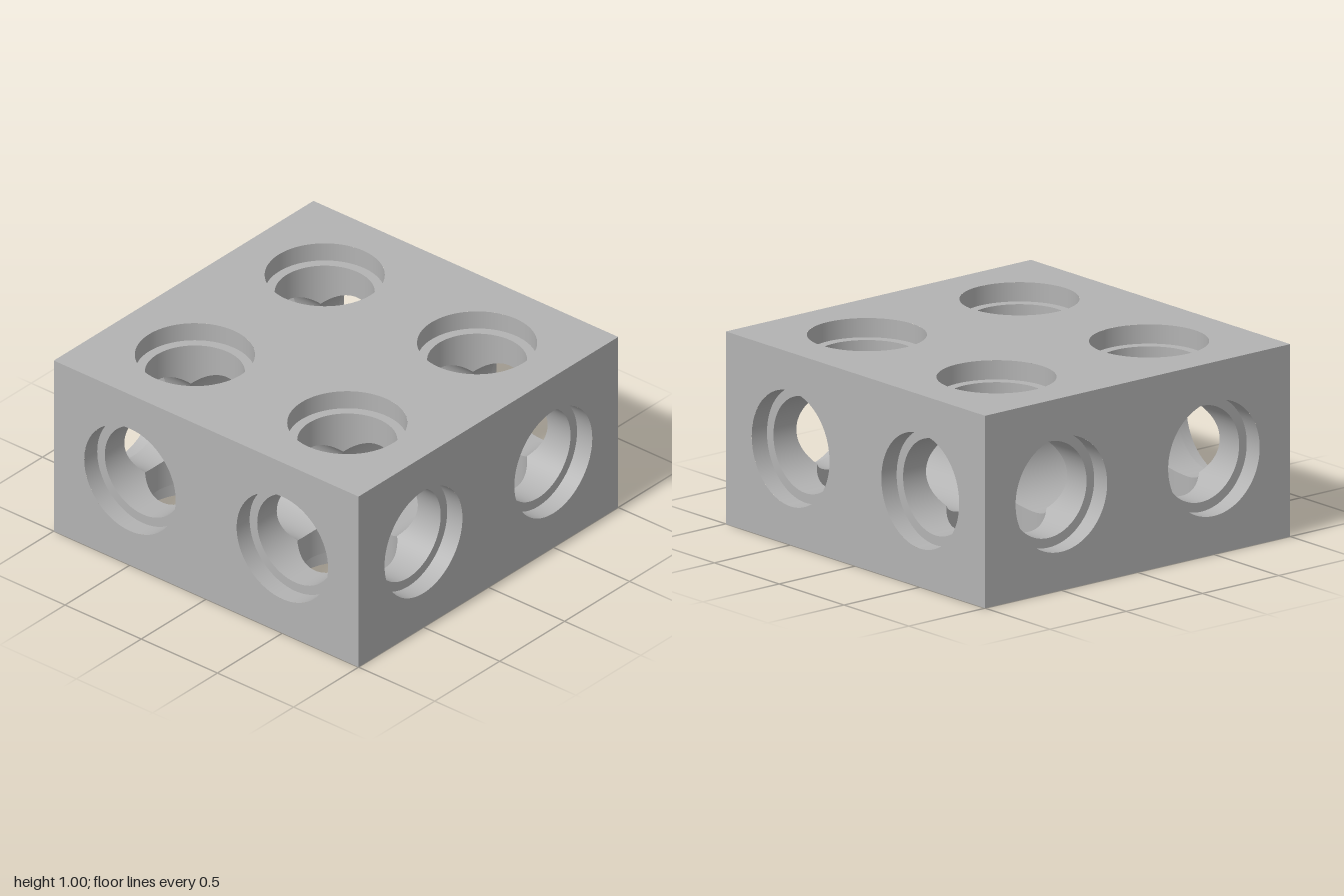
import * as THREE from 'three';

const BORE = 0.25;      // radius of the through holes
const RECESS = 0.3;     // radius of the counterbores
const LEDGE = 0.4;      // distance of the counterbore floor from a cell centre
const HALF = 0.5;       // half a cell
const SEGMENTS = 96;
const CENTRES = [-0.5, 0.5];
const UP = new THREE.Vector3(0, 1, 0);

// Inward-facing surface of revolution between two profile points, listed from outside in
function revolve(r1, y1, r2, y2) {
  return new THREE.LatheGeometry([new THREE.Vector2(r1, y1), new THREE.Vector2(r2, y2)], SEGMENTS);
}

// Bore wall whose inner end is trimmed to where the three crossing bores meet
function boreWall(outerEnd) {
  const geometry = revolve(BORE, outerEnd, BORE, 0);
  const p = geometry.attributes.position;
  for (let i = 0; i < p.count; i++) {
    if (p.getY(i) < 0.01) p.setY(i, Math.max(Math.abs(p.getX(i)), Math.abs(p.getZ(i))));
  }
  return geometry;
}

// Flat face with one round hole per cell
function facePlate(width, height, rows) {
  const w = width / 2, h = height / 2;
  const shape = new THREE.Shape([
    new THREE.Vector2(-w, -h), new THREE.Vector2(w, -h),
    new THREE.Vector2(w, h), new THREE.Vector2(-w, h),
  ]);
  for (const x of CENTRES) {
    for (const y of rows) {
      shape.holes.push(new THREE.Path().absarc(x, y, RECESS, 0, Math.PI * 2, true));
    }
  }
  return new THREE.ShapeGeometry(shape, SEGMENTS);
}

export function createModel() {
  const model = new THREE.Group();
  model.name = 'drilledBlock';
  const grey = new THREE.MeshStandardMaterial({ color: 0xb3b3b3 });
  grey.name = 'grey';

  const add = (parent, geometry, name) => {
    const mesh = new THREE.Mesh(geometry, grey);
    mesh.name = name;
    parent.add(mesh);
    return mesh;
  };

  // Four side faces
  const side = facePlate(2, 1, [0]);
  ['frontFace', 'leftFace', 'backFace', 'rightFace'].forEach((name, i) => {
    const face = add(model, side, name);
    const angle = i * Math.PI / 2;
    face.position.set(Math.sin(angle), HALF, Math.cos(angle));
    face.rotation.y = angle;
  });

  // Top and bottom faces
  const cap = facePlate(2, 2, CENTRES);
  const top = add(model, cap, 'topFace');
  top.position.y = 1;
  top.rotation.x = -Math.PI / 2;
  add(model, cap, 'bottomFace').rotation.x = Math.PI / 2;

  // Hole surfaces
  const recessWall = revolve(RECESS, HALF, RECESS, LEDGE);
  const ledge = revolve(RECESS, LEDGE, BORE, LEDGE);
  const outerBore = boreWall(LEDGE);
  const innerBore = boreWall(HALF);

  // Each cell opens in six directions: recessed at the outside, plain towards its neighbours
  for (const x of CENTRES) {
    for (const z of CENTRES) {
      const cell = new THREE.Group();
      cell.name = 'crossedBores';
      cell.position.set(x, HALF, z);
      for (const axis of ['x', 'y', 'z']) {
        for (const sign of [-1, 1]) {
          const direction = new THREE.Vector3();
          direction[axis] = sign;
          const outside = axis === 'y' || sign * cell.position[axis] > 0;
          const port = new THREE.Group();
          port.name = outside ? 'recessedHole' : 'connectingHole';
          port.quaternion.setFromUnitVectors(UP, direction);
          add(port, outside ? outerBore : innerBore, 'boreWall');
          if (outside) {
            add(port, recessWall, 'recessWall');
            add(port, ledge, 'recessLedge');
          }
          cell.add(port);
        }
      }
      model.add(cell);
    }
  }
  return model;
}
